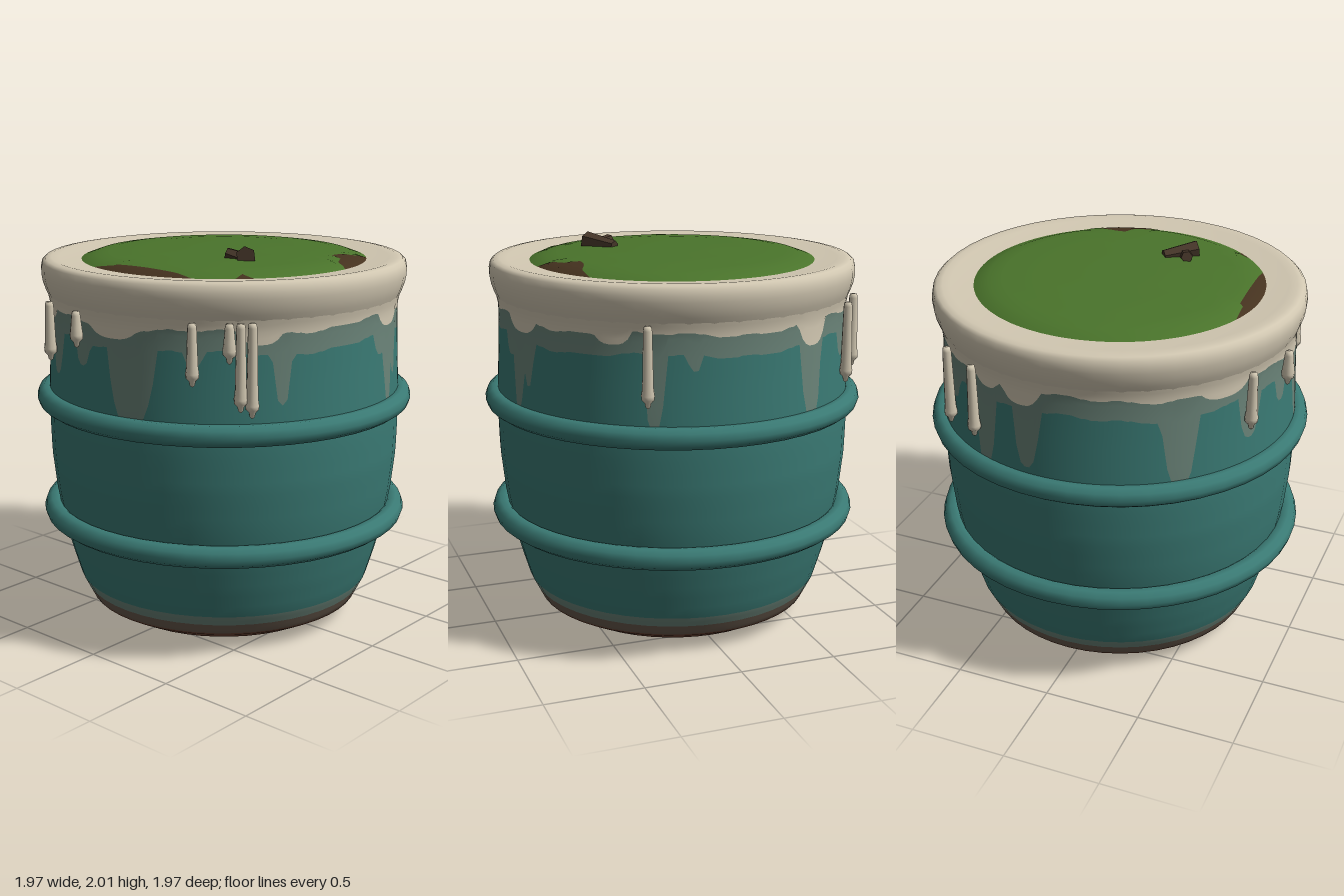
import * as THREE from 'three';

const mat = (name, color) => {
  const m = new THREE.MeshStandardMaterial({ color });
  m.name = name;
  return m;
};
const RAD = Math.PI / 180;

// Piecewise-linear profile lookup: rows are [key, radius, height]
function sample(profile, key) {
  let i = 1;
  while (i < profile.length - 1 && key > profile[i][0]) i++;
  const [a, b] = [profile[i - 1], profile[i]];
  const t = THREE.MathUtils.clamp((key - a[0]) / (b[0] - a[0]), 0, 1);
  return [a[1] + (b[1] - a[1]) * t, a[2] + (b[2] - a[2]) * t];
}

// Revolved strip between two edges that may vary with the angle (degrees)
function band(profile, lo, hi, rows, cols = 240) {
  const pos = [], nor = [], idx = [];
  for (let i = 0; i <= rows; i++) {
    for (let j = 0; j < cols; j++) {
      const deg = (j / cols) * 360 - 180, s = Math.sin(deg * RAD), c = Math.cos(deg * RAD);
      const k = lo(deg) + (hi(deg) - lo(deg)) * (i / rows);
      const [r, y] = sample(profile, k);
      const [r0, y0] = sample(profile, k - 0.03), [r1, y1] = sample(profile, k + 0.03);
      const n = new THREE.Vector2(y1 - y0, r0 - r1).normalize();
      pos.push(r * s, y, r * c);
      nor.push(n.x * s, n.y, n.x * c);
      if (i < rows) {
        const a = i * cols + j, b = i * cols + (j + 1) % cols;
        idx.push(a, b, b + cols, a, b + cols, a + cols);
      }
    }
  }
  const g = new THREE.BufferGeometry();
  g.setAttribute('position', new THREE.Float32BufferAttribute(pos, 3));
  g.setAttribute('normal', new THREE.Float32BufferAttribute(nor, 3));
  g.setIndex(idx);
  return g;
}

// Lower edge of a glaze coat: wavy base line with runs [angle, half width, bottom]
function glazeEdge(base, runs) {
  return (deg) => {
    const wave = Math.sin(deg * 0.105 + 1) + Math.sin(deg * 0.35) * 0.5;
    let y = base + Math.round(wave * 2) * 0.006;
    for (const [a, w, bottom] of runs) {
      const d = Math.abs(((deg - a + 540) % 360) - 180) / w;
      if (d < 1) y = Math.min(y, base - (base - bottom) * (1 - d ** 3));
    }
    return y;
  };
}

export function createModel() {
  const root = new THREE.Group();
  root.name = 'glazedBarrelPot';
  const teal = mat('teal glaze', 0x3a7a74);
  const cream = mat('cream glaze', 0xd2c8b2);
  const wash = mat('thin grey-green glaze', 0x6a8378);
  const moss = mat('moss green', 0x4a742b);
  const soil = mat('soil brown', 0x45321f);
  const twigBrown = mat('twig brown', 0x47372a);
  const grime = mat('worn clay', 0x67594c);
  const clay = mat('brown clay', 0x6b4433);
  const rust = mat('rust clay', 0x6f3826);

  const add = (name, geo, material, parent = root) => {
    const m = new THREE.Mesh(geo, material);
    m.name = name;
    parent.add(m);
    return m;
  };
  const at = (v) => () => v;

  // Wall, bottom to neck
  const wall = [
    [0, 0.42, 0], [0.03, 0.61, 0.03], [0.09, 0.72, 0.09], [0.21, 0.78, 0.21], [0.36, 0.825, 0.36],
    [0.52, 0.865, 0.52], [0.7, 0.897, 0.7], [0.9, 0.918, 0.9], [1.08, 0.922, 1.08], [1.24, 0.918, 1.24],
    [1.45, 0.908, 1.45], [1.6, 0.902, 1.6], [1.68, 0.902, 1.68], [1.73, 0.913, 1.73],
  ];
  const washEdge = glazeEdge(1.57, [
    [-140, 6, 1.2], [-115, 5, 1.36], [-98, 4, 1.45], [-78, 9, 1.2], [-58, 3, 1.5], [-31.5, 3.2, 1.32],
    [9, 4, 1.48], [14.5, 3.4, 1.2], [20, 3, 1.35], [65, 3.5, 1.2], [77, 2.5, 1.5],
    [118, 5.5, 1.2], [139, 4, 1.45], [157, 5, 1.2], [173, 5, 1.27],
  ]);
  const creamEdge = glazeEdge(1.67, [
    [-125, 9, 1.62], [-85, 10, 1.61], [-38, 7, 1.61], [16, 8, 1.61],
    [52, 6, 1.62], [119, 7, 1.56], [158, 5, 1.62], [171, 7, 1.59],
  ]);
  add('bottom', new THREE.CircleGeometry(0.42, 48).rotateX(Math.PI / 2), rust);
  add('footEdge', band(wall, at(0), at(0.05), 5, 48), rust);
  add('footLower', band(wall, at(0.05), at(0.1), 5, 48), clay);
  add('footUpper', band(wall, at(0.1), at(0.155), 3, 48), grime);
  add('footWash', band(wall, at(0.155), at(0.21), 2, 48), wash);
  add('lowerWall', band(wall, at(0.21), at(1.19), 16, 48), teal);
  add('upperWall', band(wall, at(1.19), washEdge, 5), teal);
  add('glazeRuns', band(wall, washEdge, creamEdge, 4), wash);
  add('glazeCollar', band(wall, creamEdge, at(1.73), 4), cream);

  // Flared rim and flat lip
  const rim = [
    [0.912, 1.725], [0.925, 1.755], [0.937, 1.79], [0.944, 1.83], [0.944, 1.86], [0.937, 1.89],
    [0.92, 1.905], [0.89, 1.91], [0.85, 1.905], [0.78, 1.897], [0.7, 1.89],
  ];
  add('rim', new THREE.LatheGeometry(rim.map((p) => new THREE.Vector2(...p)), 48), cream);

  // Two hoops
  for (const [y, r, t] of [[1.187, 0.93, 0.055], [0.577, 0.91, 0.055]]) {
    add('hoop', new THREE.TorusGeometry(r, t, 10, 48).rotateX(Math.PI / 2).translate(0, y, 0), teal);
  }

  // Moss cushion, with bare soil at its edge; the key is the negative radius
  const cushion = [
    [-0.735, 0.735, 1.893], [-0.7, 0.7, 1.911], [-0.62, 0.62, 1.928],
    [-0.45, 0.45, 1.94], [-0.2, 0.2, 1.946], [0, 0, 1.948],
  ];
  const bare = [
    [-45, 0.735], [-42, 0.7], [-38, 0.735], [5, 0.735], [8, 0.667], [15, 0.645], [19, 0.58],
    [24, 0.6], [28, 0.635], [31, 0.685], [38, 0.735],
  ].map(([a, r]) => [a, r, 0]);
  const mossEdge = (deg) =>
    deg < -60 && deg > -120
      ? -Math.min(0.735, 0.66 / Math.abs(Math.sin((deg - 3) * RAD)) + (deg < -100 ? 0.02 : 0))
      : -sample(bare, deg)[0];
  add('soil', band(cushion, at(-0.735), mossEdge, 4), soil);
  add('moss', band(cushion, mossEdge, at(0), 10), moss);

  // Broken twig with a side stub
  const twig = new THREE.Group();
  twig.name = 'twig';
  const flatTwig = twigBrown.clone();
  flatTwig.flatShading = true;
  const stick = add('stick', new THREE.CylinderGeometry(0.034, 0.05, 0.18, 6), flatTwig, twig);
  stick.quaternion.setFromUnitVectors(new THREE.Vector3(0, 1, 0), new THREE.Vector3(0.78, -0.1, -0.6).normalize());
  const stub = add('stub', new THREE.CylinderGeometry(0.03, 0.036, 0.09, 6), flatTwig, twig);
  stub.position.set(-0.045, 0, -0.035);
  stub.quaternion.setFromUnitVectors(new THREE.Vector3(0, 1, 0), new THREE.Vector3(-0.35, 0.25, -0.8).normalize());
  twig.position.set(-0.205, 1.95, 0.325);
  root.add(twig);

  // Hanging glaze drips: [angle, lowest point]
  const drips = [
    [-116.5, 1.42], [-98, 1.54], [-58, 1.42], [-47.5, 1.53], [-44.3, 1.3],
    [-41, 1.27], [63.3, 1.33], [139, 1.31], [153.7, 1.34],
  ];
  for (const [deg, y] of drips) {
    const outline = [
      [0, y], [0.012, y + 0.01], [0.016, y + 0.03], [0.031, y + 0.045], [0.033, y + 0.065],
      [0.028, y + 0.1], [0.022, 1.7], [0.018, 1.72], [0, 1.722],
    ];
    const drip = add('drip', new THREE.LatheGeometry(outline.map((p) => new THREE.Vector2(...p)), 10), cream);
    drip.position.set(0.94 * Math.sin(deg * RAD), 0, 0.94 * Math.cos(deg * RAD));
  }
  return root;
}
